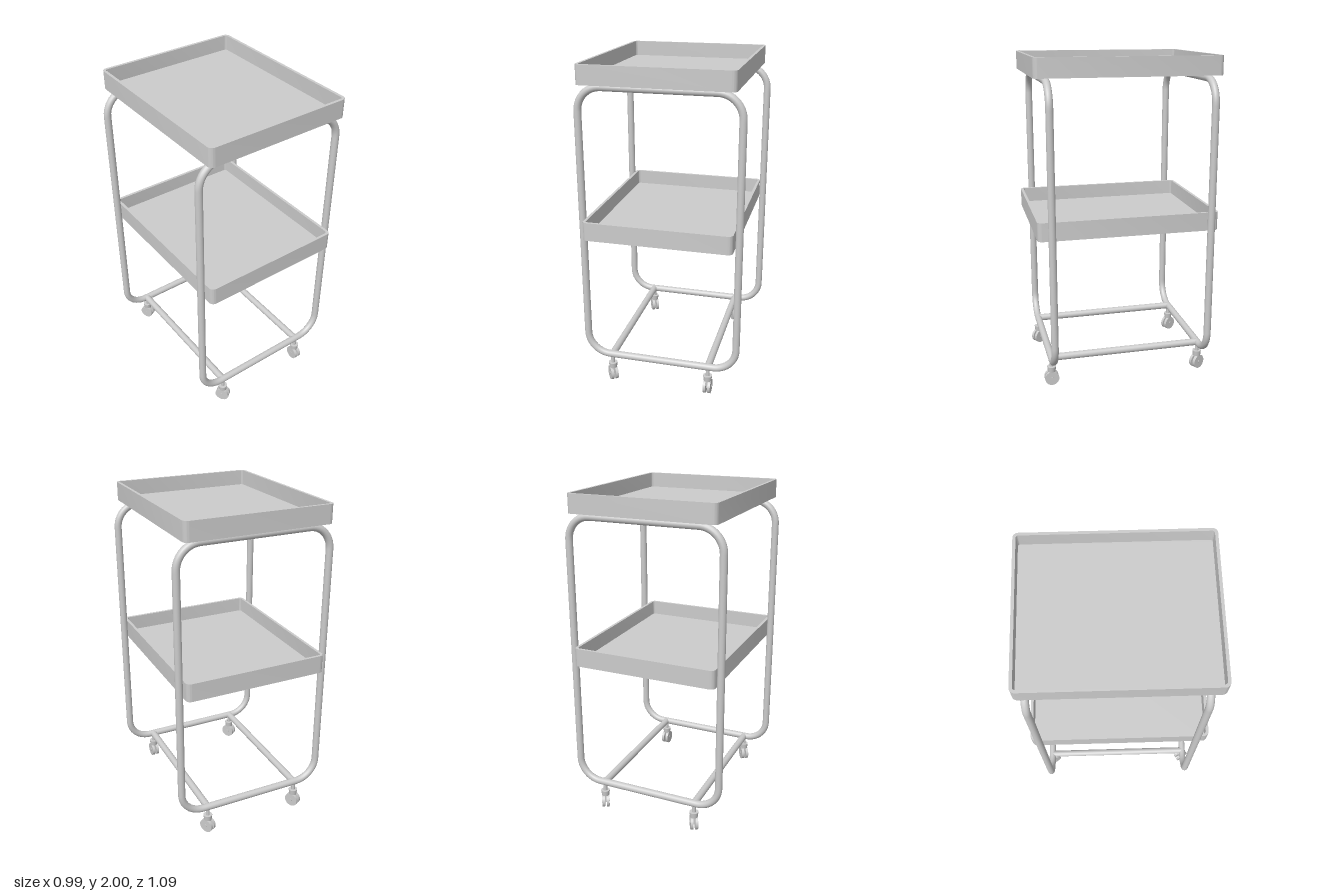
import * as THREE from 'three';
import { toCreasedNormals } from 'three/addons/utils/BufferGeometryUtils.js';

const material = new THREE.MeshStandardMaterial({ color: 0xcccccc });
const TUBE = 0.022;          // tube radius
const FRONT_Z = 0.465, BACK_Z = -0.487;
const LEFT_X = 0.3, RIGHT_X = -0.315;

function add(parent, name, geometry, x = 0, y = 0, z = 0) {
  const mesh = new THREE.Mesh(geometry, material);
  mesh.name = name;
  mesh.position.set(x, y, z);
  parent.add(mesh);
  return mesh;
}

// Rounded rectangle centred on the origin
function roundedRect(target, w, h, r) {
  const x = w / 2, y = h / 2;
  target.moveTo(x, -y + r);
  target.lineTo(x, y - r);
  target.absarc(x - r, y - r, r, 0, Math.PI / 2);
  target.lineTo(-x + r, y);
  target.absarc(-x + r, y - r, r, Math.PI / 2, Math.PI);
  target.lineTo(-x, -y + r);
  target.absarc(-x + r, -y + r, r, Math.PI, Math.PI * 1.5);
  target.lineTo(x - r, -y);
  target.absarc(x - r, -y + r, r, Math.PI * 1.5, Math.PI * 2);
  return target;
}

// Flat shape extruded upwards from y = 0
function slab(shape, height) {
  const g = new THREE.ExtrudeGeometry(shape, { depth: height, bevelEnabled: false, curveSegments: 8 });
  g.rotateX(-Math.PI / 2);
  return toCreasedNormals(g, Math.PI / 6);
}

// Closed tube loop standing in the xy plane
class HoopCurve extends THREE.Curve {
  constructor(w, h, r) {
    super();
    this.path = roundedRect(new THREE.Path(), w, h, r);
  }
  getPoint(t, target = new THREE.Vector3()) {
    const p = this.path.getPointAt(t % 1);
    return target.set(p.x, p.y, 0);
  }
}

function createTray(name) {
  const tray = new THREE.Group();
  tray.name = name;
  const w = 0.895, d = 1.088, wall = 0.017;
  const rim = roundedRect(new THREE.Shape(), w, d, 0.03);
  rim.holes.push(roundedRect(new THREE.Path(), w - 2 * wall, d - 2 * wall, 0.014));
  add(tray, 'trayWall', slab(rim, 0.112));
  const floor = roundedRect(new THREE.Shape(), w - 2 * wall, d - 2 * wall, 0.014);
  add(tray, 'trayFloor', slab(floor, 0.02));
  return tray;
}

function createCaster() {
  const caster = new THREE.Group();
  caster.name = 'caster';
  add(caster, 'casterStem', new THREE.CylinderGeometry(0.012, 0.012, 0.06, 16), 0, 0.14, 0);
  add(caster, 'casterCollar', new THREE.CylinderGeometry(0.028, 0.024, 0.035, 20), 0, 0.102, 0);
  add(caster, 'casterHousing', new THREE.BoxGeometry(0.016, 0.06, 0.034), 0, 0.068, 0);
  // Twin wheels on a shared axle
  for (const side of [-1, 1]) {
    const wheel = new THREE.CylinderGeometry(0.044, 0.044, 0.017, 28).rotateZ(Math.PI / 2);
    add(caster, 'casterWheel', wheel, side * 0.0145, 0.044, 0);
  }
  add(caster, 'casterAxle', new THREE.CylinderGeometry(0.01, 0.01, 0.052, 14).rotateZ(Math.PI / 2), 0, 0.044, 0);
  return caster;
}

export function createModel() {
  const model = new THREE.Group();
  model.name = 'trolley';

  // Front and back tube frames
  const hoop = new THREE.TubeGeometry(new HoopCurve(0.942, 1.69, 0.14), 240, TUBE, 16, true);
  add(model, 'frontFrame', hoop, 0, 1.023, FRONT_Z);
  add(model, 'backFrame', hoop, 0, 1.023, BACK_Z);

  // Lower rails joining the frames
  const rail = new THREE.CylinderGeometry(TUBE, TUBE, FRONT_Z - BACK_Z, 16).rotateX(Math.PI / 2);
  for (const x of [LEFT_X, RIGHT_X]) {
    add(model, 'bottomRail', rail, x, 0.178, (FRONT_Z + BACK_Z) / 2);
  }

  // Trays
  for (const [name, y] of [['middleTray', 0.974], ['topTray', 1.888]]) {
    const tray = createTray(name);
    tray.position.set(-0.003, y, 0);
    model.add(tray);
  }

  // Casters, each swivelled a little differently
  for (const [x, z, turn] of [
    [LEFT_X, FRONT_Z, 0], [RIGHT_X, FRONT_Z, 0.6],
    [LEFT_X, BACK_Z, 0.5], [RIGHT_X, BACK_Z, 0.5],
  ]) {
    const caster = createCaster();
    caster.position.set(x, 0, z);
    caster.rotation.y = turn;
    model.add(caster);
  }
  return model;
}
